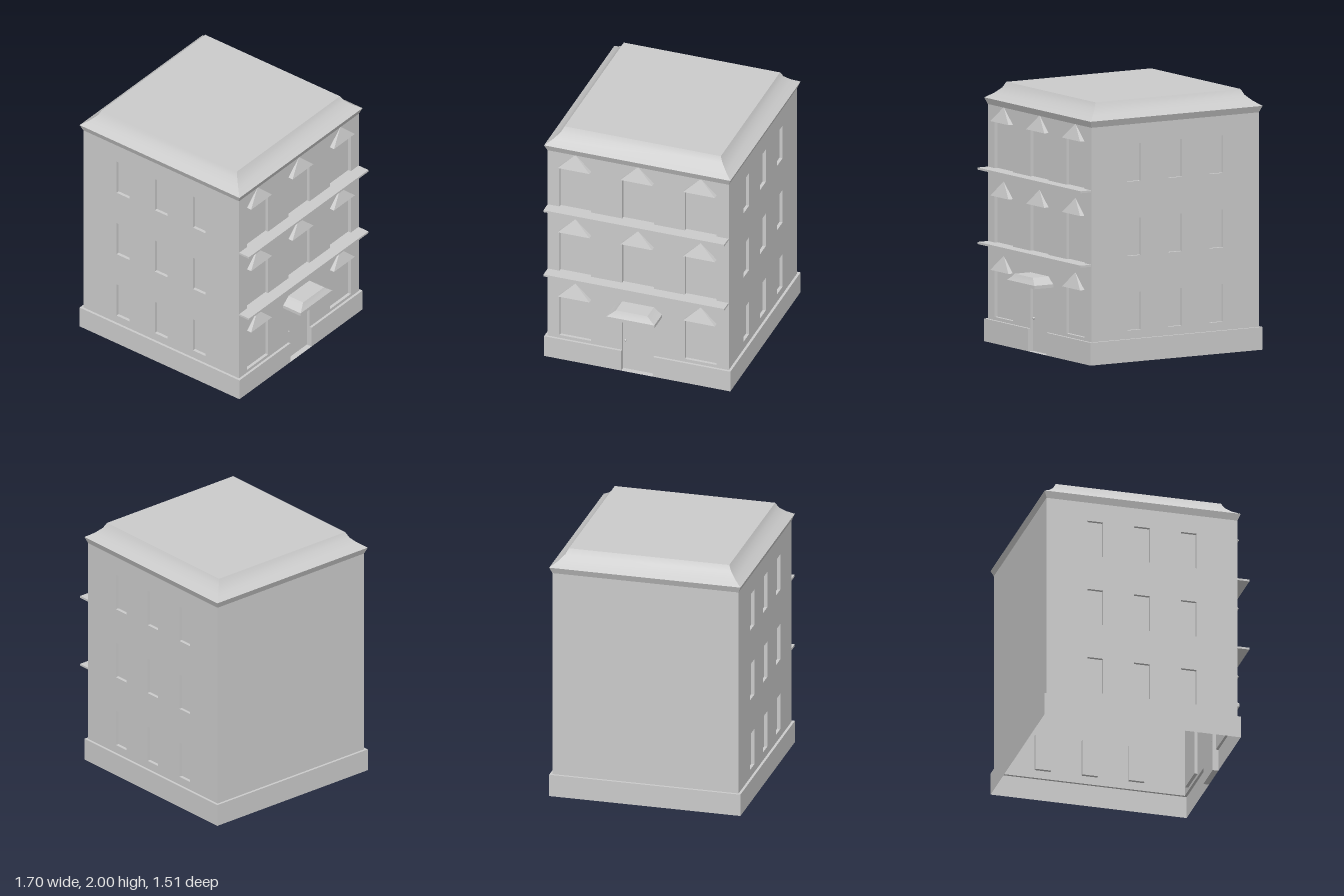
import * as THREE from 'three';

const material = new THREE.MeshStandardMaterial({ color: 0xcccccc, side: THREE.DoubleSide });

// Half sizes of the walls and of the wider plinth
const WX = 0.755, WZ = 0.735, STEP = 0.02;
const PX = WX + STEP, PZ = WZ + STEP;
const PLINTH = 0.175, WALL_TOP = 1.825, FLOOR = 0.572, DEPTH = 0.025;
const DOOR = { x: 0, y: 0, w: 0.26, h: 0.525 };

function add(parent, name, geometry, x = 0, y = 0, z = 0) {
  const mesh = new THREE.Mesh(geometry, material);
  mesh.name = name;
  mesh.position.set(x, y, z);
  parent.add(mesh);
  return mesh;
}

const polygon = pts => new THREE.Shape(pts.map(p => new THREE.Vector2(...p)));

function rectPoints({ x, y, w, h }) {
  return [[x - w / 2, y], [x + w / 2, y], [x + w / 2, y + h], [x - w / 2, y + h]];
}

// Rectangular sections [x0, x1, z0, z1, y] joined upward, with sharp corners between the sides
function hipped(levels, closedBottom = false) {
  const pos = [], idx = [];
  const corners = ([x0, x1, z0, z1, y]) => [[x0, y, z1], [x1, y, z1], [x1, y, z0], [x0, y, z0]];
  for (let s = 0; s < 4; s++) {
    const start = pos.length / 3;
    levels.forEach((level, i) => {
      const c = corners(level);
      pos.push(...c[s], ...c[(s + 1) % 4]);
      if (i) {
        const a = start + 2 * (i - 1);
        idx.push(a, a + 1, a + 3, a, a + 3, a + 2);
      }
    });
  }
  const cap = (level, up) => {
    const a = pos.length / 3;
    pos.push(...corners(level).flat());
    idx.push(...(up ? [a, a + 1, a + 2, a, a + 2, a + 3] : [a, a + 2, a + 1, a, a + 3, a + 2]));
  };
  cap(levels[levels.length - 1], true);
  if (closedBottom) cap(levels[0], false);
  const g = new THREE.BufferGeometry();
  g.setAttribute('position', new THREE.Float32BufferAttribute(pos, 3));
  g.setIndex(idx);
  g.computeVertexNormals();
  return g;
}

// Inside of a shallow box, open at its front (z = 0)
function recess({ x, y, w, h }) {
  const g = new THREE.BoxGeometry(w, h, DEPTH);
  const idx = Array.from(g.index.array);
  idx.splice(24, 6);
  g.setIndex(idx.reverse());
  g.computeVertexNormals();
  return g.translate(x, y + h / 2, -DEPTH / 2);
}

// One wall facing local +z, with recessed windows
function wall(parent, name, halfWidth, distance, angle, windows, hasDoor = false) {
  const side = new THREE.Group();
  side.name = name;
  side.rotation.y = angle;
  side.position.set(Math.sin(angle) * distance, 0, Math.cos(angle) * distance);
  parent.add(side);

  const d = DOOR.w / 2;
  const notch = hasDoor ? [[-d, PLINTH], [-d, DOOR.h], [d, DOOR.h], [d, PLINTH]] : [];
  const shape = polygon([[-halfWidth, PLINTH], ...notch, [halfWidth, PLINTH],
    [halfWidth, WALL_TOP], [-halfWidth, WALL_TOP]]);
  for (const w of windows) {
    shape.holes.push(polygon(rectPoints(w).reverse()));
    add(side, 'window', recess(w));
  }
  add(side, 'wallFace', new THREE.ShapeGeometry(shape));

  // Plinth face, split by the doorway
  const full = halfWidth + STEP;
  const spans = hasDoor ? [[-full, -d], [d, full]] : [[-full, full]];
  for (const [a, b] of spans) {
    add(side, 'plinthFace', new THREE.PlaneGeometry(b - a, PLINTH), (a + b) / 2, PLINTH / 2, STEP);
  }
  return side;
}

export function createModel() {
  const model = new THREE.Group();
  model.name = 'townhouse';
  const house = new THREE.Group();
  house.name = 'house';
  house.position.x = -0.075;
  model.add(house);

  // Narrow windows on the two side walls, wide ones on the entrance wall
  const narrow = [], wide = [];
  for (let f = 0; f < 3; f++) {
    for (const k of [-1, 0, 1]) {
      narrow.push({ x: k * 0.37, y: 0.24 + f * FLOOR, w: 0.123, h: 0.29 });
      if (f || k) wide.push({ x: k * 0.508, y: 0.2 + f * FLOOR, w: 0.257, h: 0.365 });
    }
  }
  wall(house, 'frontWall', WX, WZ, 0, narrow);
  wall(house, 'backWall', WX, WZ, Math.PI, narrow);
  wall(house, 'blankWall', WZ, WX, -Math.PI / 2, []);
  const entrance = wall(house, 'entranceWall', WZ, WX, Math.PI / 2, wide, true);

  // Pointed hoods over the wide windows
  for (const { x, y, w, h } of wide) {
    const hood = hipped([[-w / 2, w / 2, 0, 0.04, 0], [0, 0, 0, 0, 0.12]], true);
    add(entrance, 'windowHood', hood, x, y + h, 0);
  }

  // Ledges between the floors
  for (const f of [0, 1]) {
    add(entrance, 'ledge', new THREE.BoxGeometry(1.465, 0.016, 0.095), 0, 0.764 + f * FLOOR, 0.0475);
  }

  // Door in its recess, with jambs and threshold through the plinth
  add(entrance, 'door', recess(DOOR));
  add(entrance, 'doorKnob', new THREE.SphereGeometry(0.01, 12, 8), -0.108, 0.255, -DEPTH + 0.008);
  for (const k of [-1, 1]) {
    const jamb = new THREE.PlaneGeometry(STEP, PLINTH).rotateY(-k * Math.PI / 2);
    add(entrance, 'doorJamb', jamb, k * DOOR.w / 2, PLINTH / 2, STEP / 2);
  }
  const threshold = new THREE.PlaneGeometry(DOOR.w, STEP).rotateX(-Math.PI / 2);
  add(entrance, 'threshold', threshold, 0, 0, STEP / 2);

  // Door canopy: slab with a small hipped roof
  add(entrance, 'canopySlab', new THREE.BoxGeometry(0.388, 0.026, 0.17), 0, 0.542, 0.085);
  add(entrance, 'canopyRoof', hipped([
    [-0.194, 0.194, 0, 0.17, 0.555], [-0.155, 0.155, 0, 0.153, 0.583], [-0.128, 0.128, 0, 0.142, 0.607],
  ]));

  // Plinth top, interrupted at the doorway
  const d = DOOR.w / 2;
  const plinthTop = new THREE.ShapeGeometry(polygon([
    [PX, d], [PX, PZ], [-PX, PZ], [-PX, -PZ], [PX, -PZ], [PX, -d],
    [WX, -d], [WX, -WZ], [-WX, -WZ], [-WX, WZ], [WX, WZ], [WX, d],
  ])).rotateX(-Math.PI / 2);
  add(house, 'plinthTop', plinthTop, 0, PLINTH, 0);

  // Flared eaves and the hipped, flat-topped roof
  const level = (inset, y) => [inset - PX, PX - inset, inset - PZ, PZ - inset, y];
  const eaves = hipped([level(STEP, WALL_TOP), level(0, 1.875)]);
  eaves.setIndex(Array.from(eaves.index.array).slice(0, 24)); // sides only
  add(house, 'eaves', eaves);
  add(house, 'roof', hipped([level(0, 1.875), level(0.055, 1.913), level(0.1, 1.957), level(0.122, 2)]));

  return model;
}
